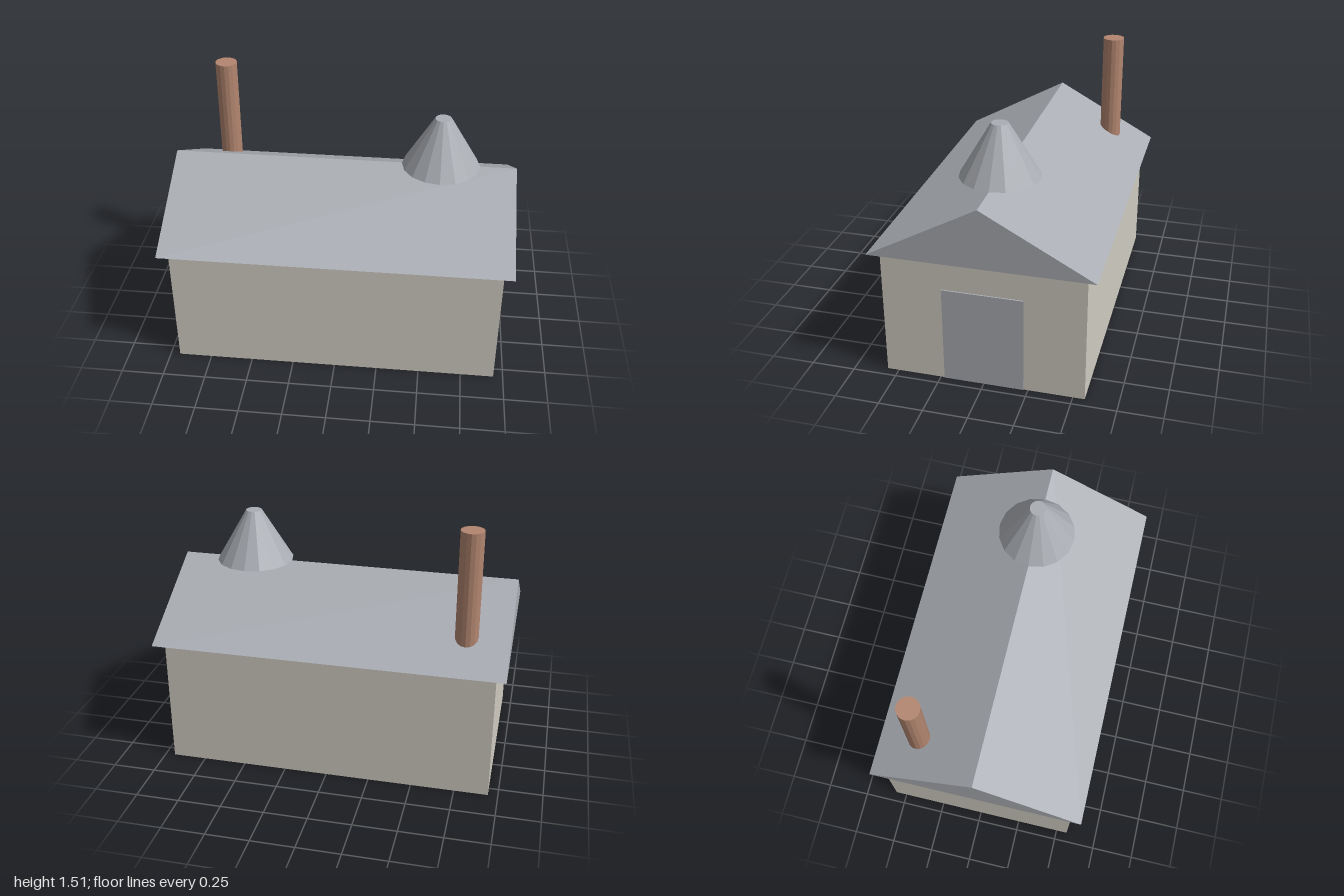
import * as THREE from 'three';

export function createModel() {
  const model = new THREE.Group();
  model.name = 'barn';

  const material = (name, color, extra = {}) => {
    const m = new THREE.MeshStandardMaterial({ color, flatShading: true, ...extra });
    m.name = name;
    return m;
  };
  const plaster = material('plaster', 0xd0ccc2);
  const metal = material('grey metal', 0xaaaeb4, { side: THREE.DoubleSide });
  const clay = material('clay', 0xb38670);

  const add = (name, geometry, mat, x, y, z) => {
    const mesh = new THREE.Mesh(geometry, mat);
    mesh.name = name;
    mesh.position.set(x, y, z);
    model.add(mesh);
    return mesh;
  };

  // Main building
  add('walls', new THREE.BoxGeometry(1.888, 0.76, 1.132), plaster, 0, 0.38, 0);

  // Thin door on the +x gable wall
  add('door', new THREE.BoxGeometry(0.009, 0.567, 0.453), metal, 0.9475, 0.2865, 0);

  // Gabled roof shell, open underneath: front eave, back eave, ridge at each end
  const L = 1, W = 0.623, H = 0.34;
  const roof = new THREE.BufferGeometry();
  roof.setAttribute('position', new THREE.Float32BufferAttribute([
    -L, 0, W, -L, 0, -W, -L, H, 0,
    L, 0, W, L, 0, -W, L, H, 0,
  ], 3));
  roof.setIndex([
    0, 3, 5, 0, 5, 2, // front slope
    4, 1, 2, 4, 2, 5, // back slope
    3, 4, 5, 1, 0, 2, // gables
  ]);
  roof.computeVertexNormals();
  add('roof', roof, metal, 0, 0.758, 0);

  // Tapered vent on the ridge
  add('roofVent', new THREE.CylinderGeometry(0.047, 0.226, 0.302, 16), metal, 0.563, 1.249, 0);

  // Chimney rising through the back slope from just above the floor
  const chimneyBase = 0.01, chimneyTop = 1.51;
  add('chimney', new THREE.CylinderGeometry(0.065, 0.065, chimneyTop - chimneyBase, 16), clay,
    -0.757, (chimneyTop + chimneyBase) / 2, -0.378);

  return model;
}
